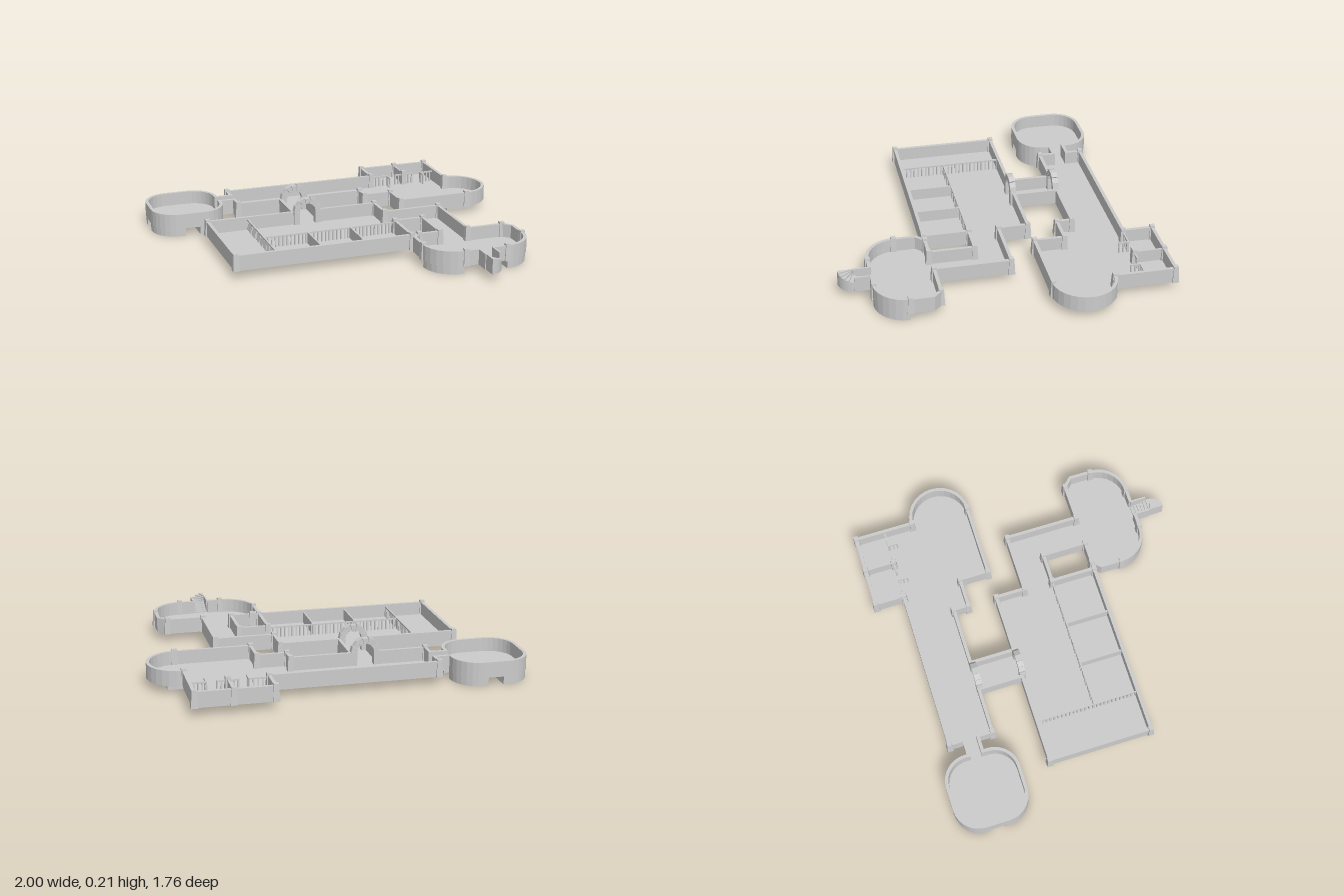
import * as THREE from 'three';
import { mergeGeometries } from 'three/addons/utils/BufferGeometryUtils.js';

const BASE = 0.045, FLOOR = 0.056, TOP = 0.13, T = 0.018;
const mat = new THREE.MeshStandardMaterial({ color: 0xcccccc, flatShading: true });

// points on an arc in plan (x, z)
function arc(cx, cz, r, a0, a1, n = 7) {
  return Array.from({ length: n + 1 }, (_, i) => {
    const a = a0 + (a1 - a0) * i / n;
    return [cx + r * Math.cos(a), cz + r * Math.sin(a)];
  });
}

// plan outline raised from y0 to y1
function slab(pts, y0, y1) {
  const shape = new THREE.Shape(pts.map(([x, z]) => new THREE.Vector2(x, -z)));
  const g = new THREE.ExtrudeGeometry(shape, { depth: y1 - y0, bevelEnabled: false });
  return g.rotateX(-Math.PI / 2).translate(0, y0, 0);
}

// mitred wall following an open plan path
function wall(path, t = T, y1 = TOP) {
  const left = [], right = [];
  path.forEach(([x, z], i) => {
    const dir = (a, b) => new THREE.Vector2(b[0] - a[0], b[1] - a[1]).normalize();
    const d0 = i > 0 ? dir(path[i - 1], path[i]) : dir(path[0], path[1]);
    const d1 = i < path.length - 1 ? dir(path[i], path[i + 1]) : d0;
    const n = new THREE.Vector2(-d0.y - d1.y, d0.x + d1.x).normalize();
    const k = t / 2 / Math.max(0.5, n.x * -d0.y + n.y * d0.x);
    left.push([x + n.x * k, z + n.y * k]);
    right.unshift([x - n.x * k, z - n.y * k]);
  });
  return slab([...left, ...right], BASE, y1);
}

function box(x0, x1, y0, y1, z0, z1) {
  return new THREE.BoxGeometry(x1 - x0, y1 - y0, z1 - z0)
    .translate((x0 + x1) / 2, (y0 + y1) / 2, (z0 + z1) / 2);
}

// row of bars with a top rail between two plan points
function bars([x0, z0], [x1, z1]) {
  const n = Math.max(2, Math.round(Math.hypot(x1 - x0, z1 - z0) / 0.022));
  const parts = [box(Math.min(x0, x1) - 0.004, Math.max(x0, x1) + 0.004, 0.112, 0.12,
    Math.min(z0, z1) - 0.004, Math.max(z0, z1) + 0.004)];
  for (let i = 0; i <= n; i++) {
    const x = x0 + (x1 - x0) * i / n, z = z0 + (z1 - z0) * i / n;
    parts.push(box(x - 0.004, x + 0.004, FLOOR - 0.004, 0.114, z - 0.004, z + 0.004));
  }
  return mergeGeometries(parts);
}

export function createModel() {
  const model = new THREE.Group();
  const add = (name, ...geos) => geos.forEach(g => {
    const m = new THREE.Mesh(g, mat);
    m.name = name;
    model.add(m);
  });
  const P = Math.PI;

  // north wing: round room, gallery, back cells and bay
  const cx = -0.79, cz = -0.575, half = 0.2, r = 0.135, c = half - r;
  const corners = [[1, 1], [-1, 1], [-1, -1], [1, -1]];
  const roundRoom = corners.flatMap(([sx, sz], i) =>
    arc(cx + sx * c, cz + sz * c, r, i * P / 2, (i + 1) * P / 2));
  const north = [
    [-0.245, -0.455], [-0.5, -0.455], [-0.5, -0.538], [cx + half, -0.538],
    ...roundRoom,
    [cx + half, -0.618], [-0.5, -0.618], [-0.5, -0.7], [0.41, -0.7], [0.41, -0.865],
    [0.825, -0.865], ...arc(0.825, -0.37, 0.165, -P / 2, P / 2, 14),
    [0.41, -0.205], [0.41, -0.37], [0.245, -0.37], [0.245, -0.455], [-0.085, -0.455],
  ];

  // south wing: hall, corridor and rounded front room, split by the stair door
  const southA = [
    [-0.085, -0.205], [0.245, -0.205], [0.245, -0.04], [0.575, -0.04], [0.575, 0.375],
    [0.78, 0.375], [0.825, 0.42], ...arc(0.66, 0.54, 0.165, 0, P / 2), [0.575, 0.705],
  ];
  const southB = [
    [0.495, 0.705], ...arc(0.41, 0.54, 0.165, P / 2, P), [0.245, 0.42], [0.29, 0.375],
    [0.41, 0.375], [0.41, 0.125], [0.245, 0.125], [0.245, 0.375], [-0.745, 0.375],
    [-0.745, -0.205], [-0.245, -0.205],
  ];
  add('northFloor', slab(north, BASE, FLOOR));
  add('southFloor', slab([...southA, ...southB], BASE, FLOOR));
  add('northWall', wall(north));
  add('southWall', wall(southA), wall(southB));
  add('courtWallLink', box(0.245, 0.29, BASE, TOP, 0.366, 0.384));

  // bridge between the wings
  add('bridgeFloor', box(-0.245, -0.085, BASE, FLOOR, -0.455, -0.205));
  add('bridgeWall', ...[-0.245, -0.085].map(x => wall([[x, -0.455], [x, -0.205]])));

  // stone arches at both bridge ends
  const archX = -0.165, ri = 0.046, ro = 0.08, count = 7;
  for (const z of [-0.448, -0.2]) {
    for (const s of [-1, 1]) {
      add('archLeg', box(archX + s * 0.063 - 0.017, archX + s * 0.063 + 0.017, BASE, TOP, z - 0.017, z + 0.017));
    }
    for (let i = 0; i < count; i++) {
      const a0 = P * i / count + 0.015, a1 = P * (i + 1) / count - 0.015;
      const out = ro - (i % 2) * 0.004;
      const pts = [...arc(0, 0, out, a0, a1, 1), ...arc(0, 0, ri, a1, a0, 1)];
      const g = new THREE.ExtrudeGeometry(new THREE.Shape(pts.map(p => new THREE.Vector2(...p))),
        { depth: 0.034, bevelEnabled: false });
      add('archStone', g.translate(archX, TOP, z - 0.017));
    }
  }

  // tapered posts at wall corners
  const posts = [
    [-0.5, -0.7], [-0.5, -0.455], [0.41, -0.7], [0.41, -0.865], [0.625, -0.865], [0.825, -0.865],
    [0.625, -0.7], [0.825, -0.535], [0.825, -0.205], [0.41, -0.205], [0.41, -0.37], [0.245, -0.37],
    [0.245, -0.455], [-0.745, -0.205], [-0.745, 0.375], [0.245, -0.205], [0.245, -0.04],
    [0.575, -0.04], [0.245, 0.125], [0.41, 0.125], [0.245, 0.375], [0.288, 0.375], [0.41, 0.375],
    [0.575, 0.375], [0.78, 0.375], [0.245, 0.54], [0.825, 0.54], [0.42, 0.705], [0.66, 0.705],
  ];
  const postGeo = new THREE.CylinderGeometry(0.013 * Math.SQRT2, 0.018 * Math.SQRT2, 0.14 - BASE, 4)
    .rotateY(P / 4).translate(0, (0.14 + BASE) / 2, 0);
  for (const [x, z] of posts) {
    const g = postGeo.clone().translate(x, 0, z);
    add('post', g);
  }

  // hall cells: barred fronts and thin dividers
  add('hallBars', bars([-0.517, -0.195], [-0.517, 0.365]), bars([-0.517, 0.125], [0.235, 0.125]));
  add('cellDivider', ...[-0.265, -0.02].map(x => wall([[x, 0.125], [x, 0.37]], 0.009, 0.12)));

  // back cells: divider, barred fronts and open barred doors
  add('backDivider', wall([[0.625, -0.865], [0.625, -0.7]], 0.01, 0.125));
  add('backBars', bars([0.42, -0.7], [0.515, -0.7]), bars([0.57, -0.7], [0.68, -0.7]),
    bars([0.735, -0.7], [0.82, -0.7]));
  add('openDoor', ...[0.515, 0.735].map(x => bars([x, -0.695], [x, -0.65])));

  // stairs rising straight out, then winding round a pivot
  const sx0 = 0.495, sx1 = 0.575, zTurn = 0.795, steps = 5;
  const rise = (TOP - FLOOR) / (2 * steps);
  for (let i = 0; i < steps; i++) {
    const d = (zTurn - 0.705) / steps;
    add('stairStep', box(sx0, sx1, BASE, FLOOR + rise * (i + 1), 0.705 + d * i, 0.705 + d * (i + 1)));
    const wedge = [[sx0, zTurn], ...arc(sx0, zTurn, 0.08, P / 2 * i / steps, P / 2 * (i + 1) / steps, 2)];
    add('windingStep', slab(wedge, BASE, FLOOR + rise * (i + 1 + steps)));
  }
  add('stairWall', ...[sx0, sx1].map(x => wall([[x, 0.705], [x, zTurn]], 0.01)));

  // foundation blocks below the rounded rooms
  const g = 0.042, rf = r + 0.006;
  corners.forEach(([sx, sz], i) => {
    const ends = [[cx + sx * (c + rf), cz + sz * g], [cx + sx * g, cz + sz * (c + rf)]];
    const [first, last] = i % 2 ? [ends[1], ends[0]] : ends;
    add('roundRoomFooting', slab([[cx + sx * g, cz + sz * g], first,
      ...arc(cx + sx * c, cz + sz * c, rf, i * P / 2, (i + 1) * P / 2), last], 0, BASE));
  });
  add('frontRoomFooting',
    slab([[0.41, 0.545], ...arc(0.41, 0.545, 0.166, P / 2, P)], 0, BASE),
    slab([[0.66, 0.545], ...arc(0.66, 0.545, 0.166, 0, P / 2)], 0, BASE));
  add('bayFooting', box(0.74, 0.9, 0, BASE, -0.455, -0.285));
  return model;
}
